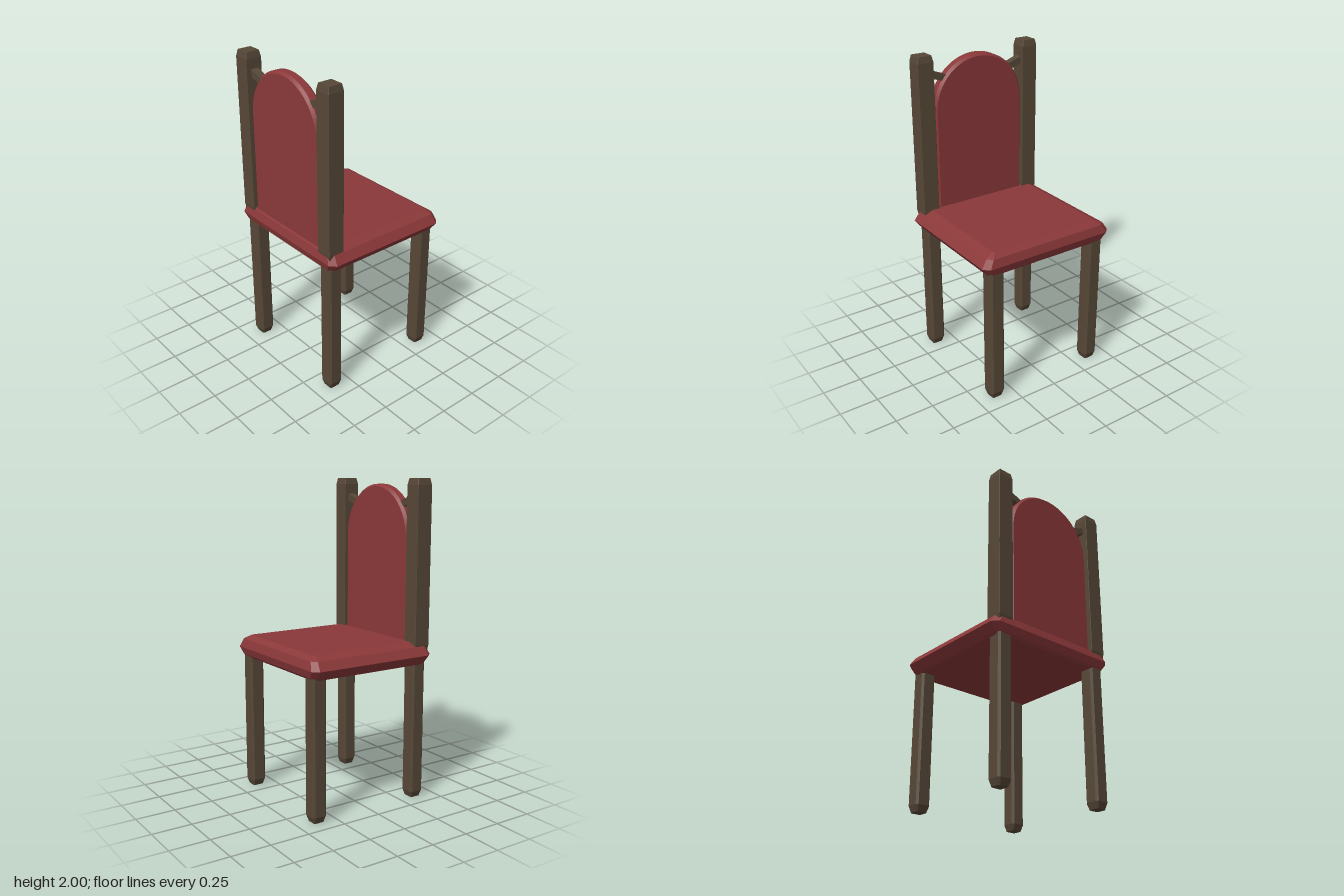
import * as THREE from 'three';

const wood = new THREE.MeshStandardMaterial({ color: 0x574838 });
wood.name = 'dark wood';
const fabric = new THREE.MeshStandardMaterial({ color: 0x8b3839 });
fabric.name = 'red upholstery';

// Solid stacked from rectangles with cut corners: [y, halfX, halfZ, cornerCut]
function ringSolid(rings) {
  const loops = rings.map(([y, x, z, c]) => [
    [x, y, z - c], [x - c, y, z], [c - x, y, z], [-x, y, z - c],
    [-x, y, c - z], [c - x, y, -z], [x - c, y, -z], [x, y, c - z],
  ]);
  const pos = [];
  const tri = (...pts) => pts.forEach((p) => pos.push(...p));
  for (let k = 0; k < loops.length - 1; k++) {
    for (let i = 0; i < 8; i++) {
      const j = (i + 1) % 8;
      const lo = loops[k], up = loops[k + 1];
      tri(lo[i], up[i], up[j]);
      tri(lo[i], up[j], lo[j]);
    }
  }
  const bottom = loops[0], top = loops[loops.length - 1];
  for (let i = 1; i < 7; i++) {
    tri(bottom[0], bottom[i], bottom[i + 1]);
    tri(top[0], top[i + 1], top[i]);
  }
  const geo = new THREE.BufferGeometry();
  geo.setAttribute('position', new THREE.Float32BufferAttribute(pos, 3));
  geo.computeVertexNormals();
  return geo;
}

export function createModel() {
  const chair = new THREE.Group();
  chair.name = 'chair';
  const add = (name, geo, mat, x = 0, y = 0, z = 0) => {
    const mesh = new THREE.Mesh(geo, mat);
    mesh.name = name;
    mesh.position.set(x, y, z);
    chair.add(mesh);
    return mesh;
  };

  // Padded seat with bulging rim
  add('seat', ringSolid([
    [0.87, 0.405, 0.42, 0.03],
    [0.885, 0.42, 0.432, 0.03],
    [0.932, 0.435, 0.468, 0.037],
    [0.985, 0.42, 0.432, 0.03],
    [1.01, 0.38, 0.378, 0.01],
  ]), fabric);

  // Four legs with chamfered edges and tapered feet
  const legGeo = ringSolid([
    [0, 0.035, 0.035, 0.008],
    [0.04, 0.048, 0.048, 0.013],
    [0.885, 0.048, 0.048, 0.013],
  ]);
  for (const x of [-0.366, 0.366]) {
    for (const z of [-0.37, 0.37]) {
      add(x < 0 ? 'backLeg' : 'frontLeg', legGeo, wood, x, 0, z);
    }
  }

  // Back posts, each with a sloping brace to the backrest
  const postGeo = ringSolid([
    [0.95, 0.047, 0.047, 0.002],
    [0.99, 0.053, 0.053, 0.002],
    [1.96, 0.053, 0.053, 0.002],
    [2.0, 0.045, 0.045, 0.002],
  ]);
  const braceGeo = new THREE.BoxGeometry(0.05, 0.042, 0.13);
  for (const s of [-1, 1]) {
    add('backPost', postGeo, wood, -0.373, 0, s * 0.378);
    const brace = add('backBrace', braceGeo, wood, -0.37, 1.862, s * 0.285);
    brace.rotation.x = -s * 0.33;
  }

  // Arched backrest panel with bevelled rim
  const r = 0.305;
  const arch = new THREE.Shape();
  arch.moveTo(-r, 0.95);
  arch.lineTo(r, 0.95);
  arch.lineTo(r, 1.645);
  arch.absarc(0, 1.645, r, 0, Math.PI, false);
  arch.closePath();
  const backGeo = new THREE.ExtrudeGeometry(arch, {
    depth: 0.045, bevelEnabled: true, bevelSegments: 1,
    bevelSize: 0.015, bevelThickness: 0.0175, curveSegments: 24,
  });
  backGeo.translate(0, 0, -0.0225);
  backGeo.rotateY(Math.PI / 2);
  add('backrest', backGeo, fabric, -0.37);

  return chair;
}
